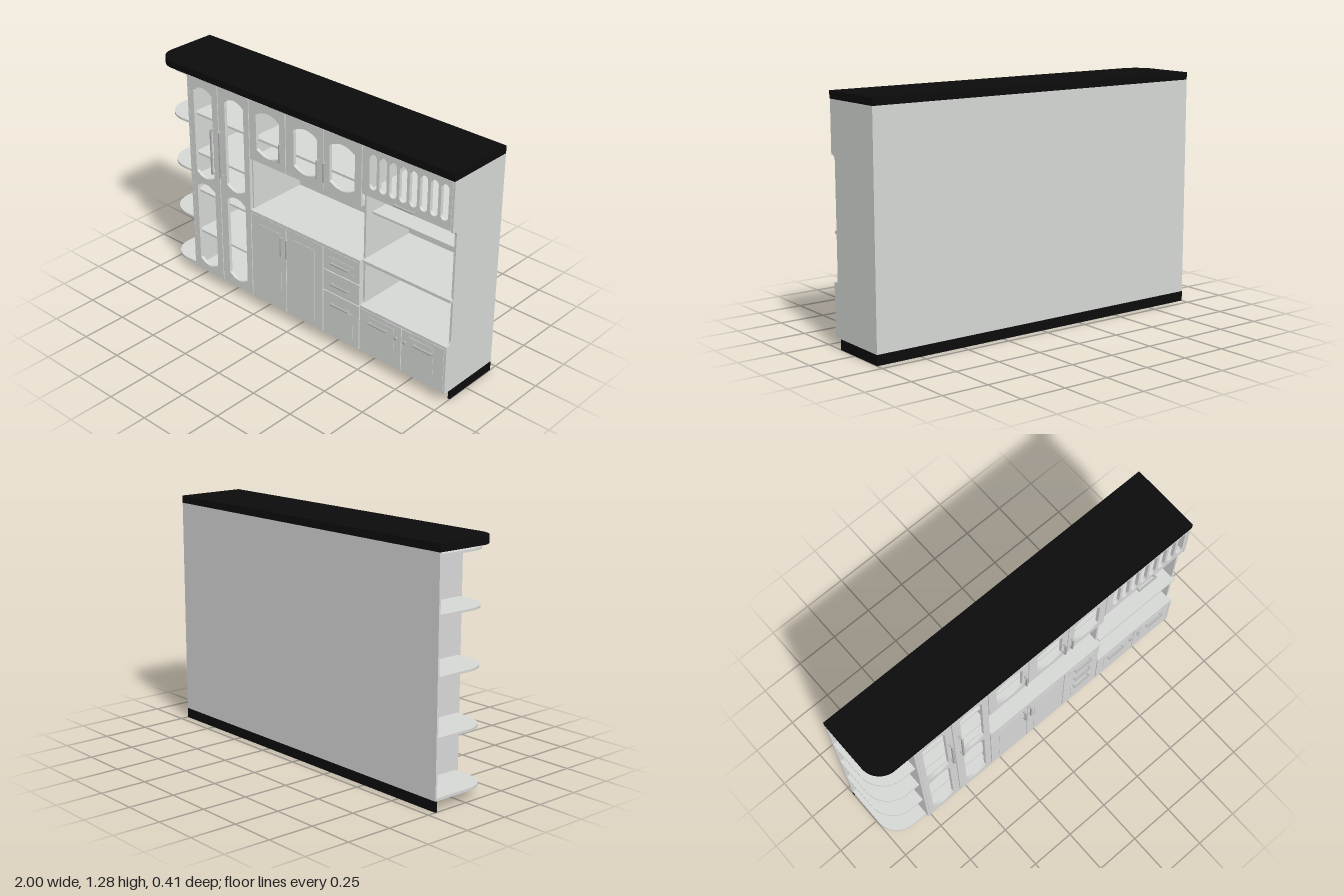
import * as THREE from 'three';

const mat = (name, color, double) => {
  const m = new THREE.MeshStandardMaterial({ color });
  m.name = name;
  if (double) m.side = THREE.DoubleSide;
  return m;
};

export function createModel() {
  const root = new THREE.Group();
  root.name = 'wallCabinet';
  const paint = mat('palePaint', 0xd6d8d6);
  const black = mat('blackTrim', 0x0c0c0c);
  const metal = mat('handleMetal', 0xb4b6b4);

  const BACK = -0.205, CARCASS = 0.16, FRONT = 0.178;

  const add = (name, geo, material = paint) => {
    const m = new THREE.Mesh(geo, material);
    m.name = name;
    root.add(m);
    return m;
  };
  const box = (name, x0, x1, y0, y1, z0, z1, material) => {
    const g = new THREE.BoxGeometry(x1 - x0, y1 - y0, z1 - z0);
    g.translate((x0 + x1) / 2, (y0 + y1) / 2, (z0 + z1) / 2);
    return add(name, g, material);
  };
  const shelf = (name, x0, x1, yTop, zFront = CARCASS, t = 0.012) =>
    box(name, x0, x1, yTop - t, yTop, BACK + 0.01, zFront);

  // Horizontal board whose front corner at its left end is rounded
  const roundedBoard = (name, x0, x1, yTop, t, zFront, r, material) => {
    const s = new THREE.Shape();
    s.moveTo(x0, BACK);
    s.lineTo(x1, BACK);
    s.lineTo(x1, zFront);
    s.lineTo(x0 + r, zFront);
    s.absarc(x0 + r, zFront - r, r, Math.PI / 2, Math.PI, false);
    const g = new THREE.ExtrudeGeometry(s, { depth: t, bevelEnabled: false, curveSegments: 12 });
    g.rotateX(Math.PI / 2);
    g.translate(0, yTop, 0);
    return add(name, g, material);
  };

  // Rectangle with bowed top and bottom, used as a door opening
  const archHole = (x0, x1, y0, y1, rise = 0.028) => {
    const h = new THREE.Path(), c = (x0 + x1) / 2;
    h.moveTo(x0, y0 + rise);
    h.quadraticCurveTo(c, y0 - rise, x1, y0 + rise);
    h.lineTo(x1, y1 - rise);
    h.quadraticCurveTo(c, y1 + rise, x0, y1 - rise);
    h.closePath();
    return h;
  };
  const slotHole = (c, w, y0, y1) => {
    const h = new THREE.Path(), r = w / 2;
    h.absarc(c, y1 - r, r, 0, Math.PI, false);
    h.absarc(c, y0 + r, r, Math.PI, Math.PI * 2, false);
    h.closePath();
    return h;
  };
  const door = (name, x0, x1, y0, y1, holes = []) => {
    const s = new THREE.Shape();
    s.moveTo(x0, y0);
    s.lineTo(x1, y0);
    s.lineTo(x1, y1);
    s.lineTo(x0, y1);
    s.closePath();
    s.holes.push(...holes);
    const g = new THREE.ExtrudeGeometry(s, { depth: FRONT - CARCASS, bevelEnabled: false, curveSegments: 10 });
    g.translate(0, 0, CARCASS);
    return add(name, g);
  };
  const raisedPanel = (x0, x1, y0, y1) =>
    box('raisedPanel', x0, x1, y0, y1, FRONT - 0.002, FRONT + 0.002);

  // Bar handle on two posts
  const handle = (x, y, length, vertical, reach = 0.198) => {
    const g = new THREE.Group(), w = 0.009;
    g.name = vertical ? 'uprightHandle' : 'levelHandle';
    const bar = new THREE.Mesh(new THREE.BoxGeometry(length, w, w), metal);
    bar.name = 'handleBar';
    bar.position.z = reach - w / 2;
    g.add(bar);
    for (const s of [-1, 1]) {
      const post = new THREE.Mesh(new THREE.BoxGeometry(w, w, reach - FRONT), metal);
      post.name = 'handlePost';
      post.position.set(s * (length / 2 - w / 2), 0, (reach + FRONT) / 2 - w / 2);
      g.add(post);
    }
    if (vertical) g.rotation.z = Math.PI / 2;
    g.position.set(x, y, 0);
    root.add(g);
  };

  // Upright panel cut back with a curve beside the open niches
  const nichePanel = (name, x, t, y0, y1, cut, fz) => {
    const s = new THREE.Shape(), z = 0.146, r = 0.03;
    s.moveTo(BACK, y0);
    s.lineTo(fz, y0);
    s.lineTo(fz, cut[0]);
    s.quadraticCurveTo(z, cut[0], z, cut[0] + r);
    s.lineTo(z, cut[1] - r);
    s.quadraticCurveTo(z, cut[1], fz, cut[1]);
    s.lineTo(fz, y1);
    s.lineTo(BACK, y1);
    const g = new THREE.ExtrudeGeometry(s, { depth: t, bevelEnabled: false, curveSegments: 6 });
    g.rotateY(-Math.PI / 2);
    g.translate(x, 0, 0);
    return add(name, g);
  };

  // Shell: cornice, back, base board and the open plinth
  roundedBoard('cornice', -1, 1, 1.28, 0.04, 0.183, 0.11, black);
  box('backPanel', -1, 1, 0.055, 1.24, BACK, BACK + 0.01);
  roundedBoard('baseBoard', -1, 1, 0.069, 0.014, CARCASS, 0.13);
  box('plinthBack', -1, 1, 0, 0.055, BACK, BACK + 0.012, black);
  box('plinthSide', 0.988, 1, 0, 0.055, BACK, 0.13, black);

  // Uprights
  box('tallCabinetLeftSide', -0.775, -0.762, 0.055, 1.24, BACK, FRONT);
  box('tallCabinetRightSide', -0.326, -0.314, 0.055, 1.24, BACK, CARCASS);
  nichePanel('middleDivider', 0.451, 0.012, 0.055, 1.24, [0.33, 0.97], CARCASS);
  nichePanel('rightSide', 1, 0.012, 0.055, 1.24, [0.33, 0.97], FRONT);

  // Open rounded shelves at the end
  for (const y of [0.366, 0.66, 0.952, 1.232]) roundedBoard('endShelf', -1, -0.77, y, 0.012, CARCASS, 0.15);

  // Tall display cabinet
  for (const y of [0.295, 0.55, 0.64, 0.78, 1.015]) shelf('displayShelf', -0.763, -0.325, y, 0.15);
  for (const [x0, x1, h0, h1] of [[-0.761, -0.55, -0.73, -0.592], [-0.545, -0.322, -0.497, -0.36]])
    door('displayDoor', x0, x1, 0.06, 1.236, [archHole(h0, h1, 0.105, 0.62), archHole(h0, h1, 0.655, 1.19)]);
  for (const x of [-0.578, -0.515]) handle(x, 0.855, 0.265, true, 0.21);

  // Middle wall cabinet
  shelf('wallCabinetFloor', -0.315, 0.44, 0.907);
  shelf('wallCabinetShelf', -0.315, 0.44, 1.015, 0.15);
  for (const [x0, x1, h0, h1] of [
    [-0.317, -0.064, -0.268, -0.104], [-0.059, 0.193, -0.006, 0.155], [0.198, 0.443, 0.236, 0.4]])
    door('wallDoor', x0, x1, 0.898, 1.236, [archHole(h0, h1, 0.94, 1.192)]);
  for (const x of [-0.088, 0.167, 0.213]) handle(x, 1.01, 0.105, true, 0.2);

  // Middle counter and base cabinet
  box('counter', -0.318, 0.447, 0.582, 0.598, BACK + 0.01, 0.184);
  box('drawerDivider', 0.19, 0.2, 0.06, 0.585, BACK + 0.01, CARCASS);
  door('baseDoor', -0.317, -0.068, 0.06, 0.576);
  door('baseDoor', -0.063, 0.193, 0.06, 0.576);
  raisedPanel(-0.262, -0.1, 0.11, 0.53);
  raisedPanel(-0.015, 0.138, 0.11, 0.53);
  for (const x of [-0.09, -0.05]) handle(x, 0.463, 0.11, true);
  for (const [y0, y1, hy] of [[0.451, 0.576, 0.508], [0.325, 0.446, 0.384], [0.06, 0.32, 0.264]]) {
    door('drawerFront', 0.198, 0.441, y0, y1);
    handle(0.32, hy, 0.115, false);
  }
  raisedPanel(0.255, 0.4, 0.105, 0.25);
  raisedPanel(0.235, 0.405, 0.48, 0.535);

  // Right column: slotted flap, open niches and low cabinet
  const slots = [];
  for (let i = 0; i < 8; i++) slots.push(slotHole(0.515 + i * 0.0615, 0.045, 1.018, 1.208));
  door('slottedFlap', 0.448, 0.986, 0.976, 1.236, slots);
  handle(0.72, 0.997, 0.12, false, 0.2);
  shelf('upperNicheTop', 0.45, 0.99, 0.978);
  shelf('nicheShelf', 0.45, 0.99, 0.845, 0.1);
  box('nicheCounter', 0.451, 0.998, 0.58, 0.596, BACK + 0.01, 0.166);
  box('lowCounter', 0.449, 0.998, 0.32, 0.335, BACK + 0.01, 0.18);
  for (const [x0, x1, p0, p1, hx, kx] of [
    [0.448, 0.718, 0.498, 0.672, 0.575, 0.69], [0.723, 0.986, 0.768, 0.922, 0.865, 0.746]]) {
    door('lowDoor', x0, x1, 0.06, 0.316);
    raisedPanel(p0, p1, 0.11, 0.29);
    handle(hx, 0.262, 0.115, false);
    const knob = new THREE.CylinderGeometry(0.008, 0.008, 0.014, 12);
    knob.rotateX(Math.PI / 2);
    knob.translate(kx, 0.247, FRONT + 0.006);
    add('lockKnob', knob, metal);
  }
  return root;
}
